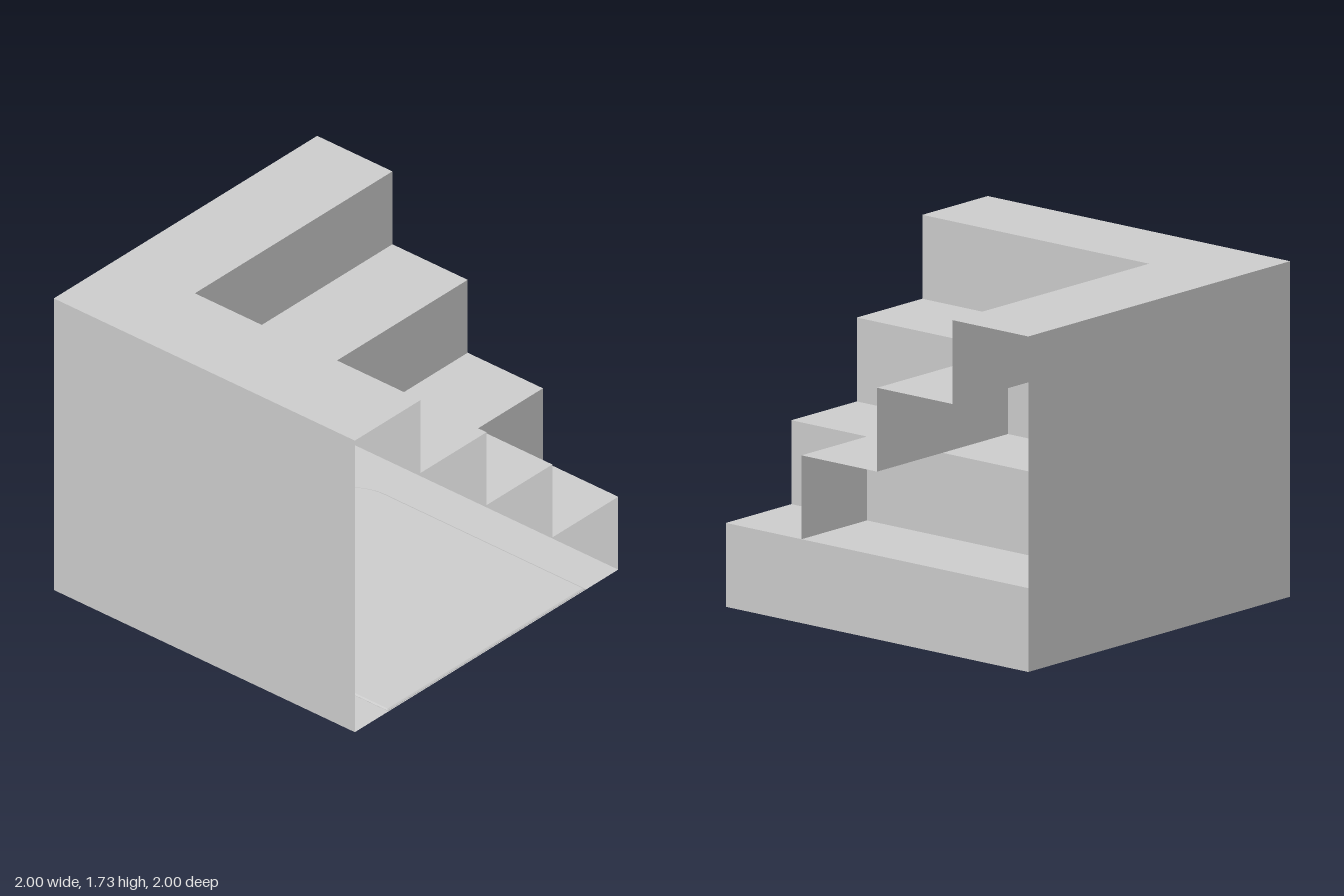
import * as THREE from 'three';

const material = new THREE.MeshStandardMaterial({ color: 0xcccccc, side: THREE.DoubleSide });
const RISE = 0.433, RUN = 0.5, STEPS = 4;

export function createModel() {
  const group = new THREE.Group();
  group.name = 'cornerStairs';

  const add = (name, geometry) => {
    const mesh = new THREE.Mesh(geometry, material);
    mesh.name = name;
    group.add(mesh);
    return mesh;
  };

  // Thin panels given by their bounds
  const level = (name, y, x0, x1, z0, z1) =>
    add(name, new THREE.PlaneGeometry(x1 - x0, z1 - z0).rotateX(-Math.PI / 2)
      .translate((x0 + x1) / 2, y, (z0 + z1) / 2));
  const facingX = (name, x, y0, y1, z0, z1) =>
    add(name, new THREE.PlaneGeometry(z1 - z0, y1 - y0).rotateY(Math.PI / 2)
      .translate(x, (y0 + y1) / 2, (z0 + z1) / 2));
  const facingZ = (name, z, y0, y1, x0, x1) =>
    add(name, new THREE.PlaneGeometry(x1 - x0, y1 - y0)
      .translate((x0 + x1) / 2, (y0 + y1) / 2, z));

  // Base and the two full-height walls
  const top = RISE * STEPS;
  level('floor', 0, -1, 1, -1, 1);
  facingX('sideWall', -1, 0, top, -1, 1).geometry.rotateY(Math.PI);
  facingZ('backWall', -1, 0, top, -1, 1).geometry.translate(0, 0, 1).rotateY(Math.PI).translate(0, 0, -1);
  group.getObjectByName('sideWall').geometry.translate(-2, 0, 0);

  for (let k = 0; k < STEPS; k++) {
    const edge = 1 - RUN * k, y0 = RISE * k, y1 = y0 + RISE;

    // Flight climbing towards the side wall, running the full depth
    facingX('sideRiser', edge, y0, y1, -1, 1);
    level('sideTread', y1, edge - RUN, edge, -1, 1);

    // Flight climbing towards the back wall, set over the first one
    if (k > 0) {
      facingZ('backRiser', edge, y0, y1, edge, 1);
      level('backTread', y1, edge, 1, edge - RUN, edge);
    }
  }

  // Slightly raised floor panel with rounded back corners and sloping rim
  const w = 0.74, back = 0.58, r = 0.25;
  const outline = new THREE.Shape();
  outline.moveTo(-w, -0.99);
  outline.lineTo(w, -0.99);
  outline.lineTo(w, back - r);
  outline.absarc(w - r, back - r, r, 0, Math.PI / 2);
  outline.lineTo(-w + r, back);
  outline.absarc(-w + r, back - r, r, Math.PI / 2, Math.PI);
  outline.closePath();
  add('floorPanel', new THREE.ExtrudeGeometry(outline, {
    depth: 0.002, bevelEnabled: true, bevelSegments: 1, bevelThickness: 0.004,
    bevelSize: 0.01, curveSegments: 6,
  }).rotateX(-Math.PI / 2).translate(0, 0.005, 0));

  return group;
}
